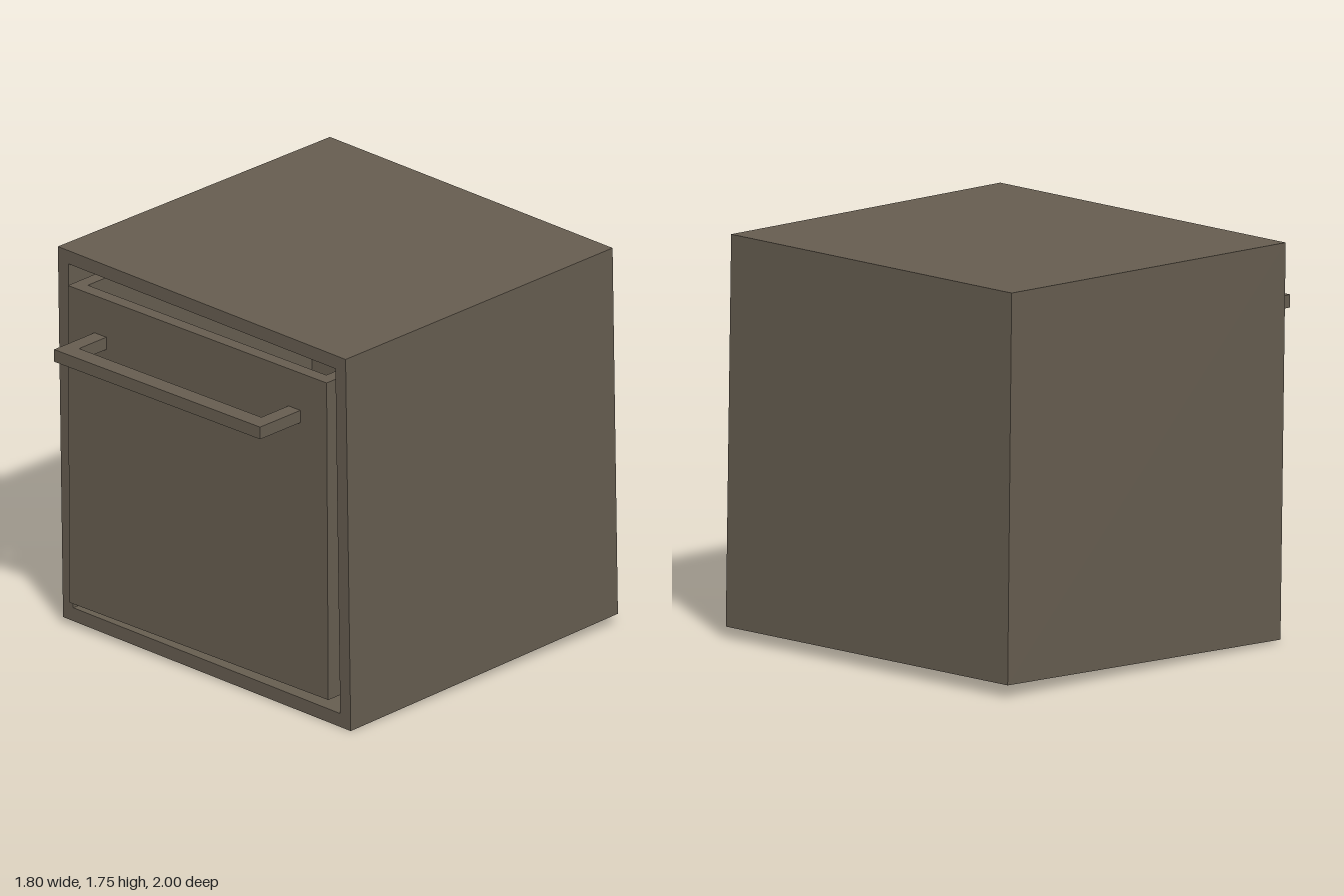
import * as THREE from 'three';

const wood = new THREE.MeshStandardMaterial({ color: 0x665d50 });
wood.name = 'dark wood';

function part(geometry, name) {
  const mesh = new THREE.Mesh(geometry, wood);
  mesh.name = name;
  return mesh;
}

// Rectangular outline around the origin
function rectangle(w, h, PathType) {
  const p = new PathType();
  p.moveTo(-w / 2, -h / 2);
  p.lineTo(w / 2, -h / 2);
  p.lineTo(w / 2, h / 2);
  p.lineTo(-w / 2, h / 2);
  p.closePath();
  return p;
}

// Four walls, extruded along z from 0 to d
function walls(w, h, d, t) {
  const shape = rectangle(w, h, THREE.Shape);
  shape.holes.push(rectangle(w - 2 * t, h - 2 * t, THREE.Path));
  return new THREE.ExtrudeGeometry(shape, { depth: d, bevelEnabled: false });
}

// Panel that closes the walls at z = 0
function panel(w, h, d, t) {
  return new THREE.BoxGeometry(w - 2 * t, h - 2 * t, d).translate(0, 0, d / 2);
}

// Corners of the slightly skewed cabinet: left/right, bottom/top, back/front
const corners = [
  [-0.796, 0.056, -1.0], [0.896, 0.05, -0.902],
  [-0.787, 1.747, -0.965], [0.897, 1.742, -0.867],
  [-0.9, 0.01, 0.61], [0.814, 0, 0.71],
  [-0.9, 1.723, 0.643], [0.814, 1.718, 0.743],
].map((c) => new THREE.Vector3(...c));

// Moves a unit cube geometry into the cabinet's corners
function skew(geometry) {
  const pos = geometry.attributes.position;
  for (let i = 0; i < pos.count; i++) {
    const u = pos.getX(i) + 0.5, v = pos.getY(i) + 0.5, w = pos.getZ(i);
    const p = new THREE.Vector3();
    corners.forEach((c, k) => {
      const weight = (k & 1 ? u : 1 - u) * (k & 2 ? v : 1 - v) * (k & 4 ? w : 1 - w);
      p.addScaledVector(c, weight);
    });
    pos.setXYZ(i, p.x, p.y, p.z);
  }
  geometry.computeVertexNormals();
  return geometry;
}

export function createModel() {
  const model = new THREE.Group();
  model.name = 'drawerCabinet';

  // Cabinet, open at the front
  const cabinet = new THREE.Group();
  cabinet.name = 'cabinet';
  cabinet.add(
    part(skew(walls(1, 1, 1, 0.036)), 'cabinetWalls'),
    part(skew(panel(1, 1, 0.04, 0.036)), 'cabinetBack'),
  );
  model.add(cabinet);

  // Drawer, open at the top; origin at the centre of its front face
  const drawer = new THREE.Group();
  drawer.name = 'drawer';
  const width = 1.52, height = 1.46, depth = 1.48, t = 0.06;
  const upright = (g) => g.rotateX(-Math.PI / 2).translate(0, -height / 2, -depth / 2);
  drawer.add(
    part(upright(walls(width, depth, height, t)), 'drawerWalls'),
    part(upright(panel(width, depth, t, t)), 'drawerBottom'),
  );

  // U-shaped pull handle
  const half = 0.605, reach = 0.246, leg = 0.07, bar = 0.08;
  const outline = new THREE.Shape([
    [-half, 0], [-half, -reach], [half, -reach], [half, 0],
    [half - leg, 0], [half - leg, bar - reach], [leg - half, bar - reach], [leg - half, 0],
  ].map(([x, y]) => new THREE.Vector2(x, y)));
  const handle = new THREE.ExtrudeGeometry(outline, { depth: 0.056, bevelEnabled: false });
  handle.rotateX(-Math.PI / 2).translate(0, 0.502, 0);
  drawer.add(part(handle, 'handle'));

  drawer.position.set(-0.04, 0.858, 0.72);
  drawer.rotation.set(0.007, -0.042, 0);
  model.add(drawer);

  return model;
}
